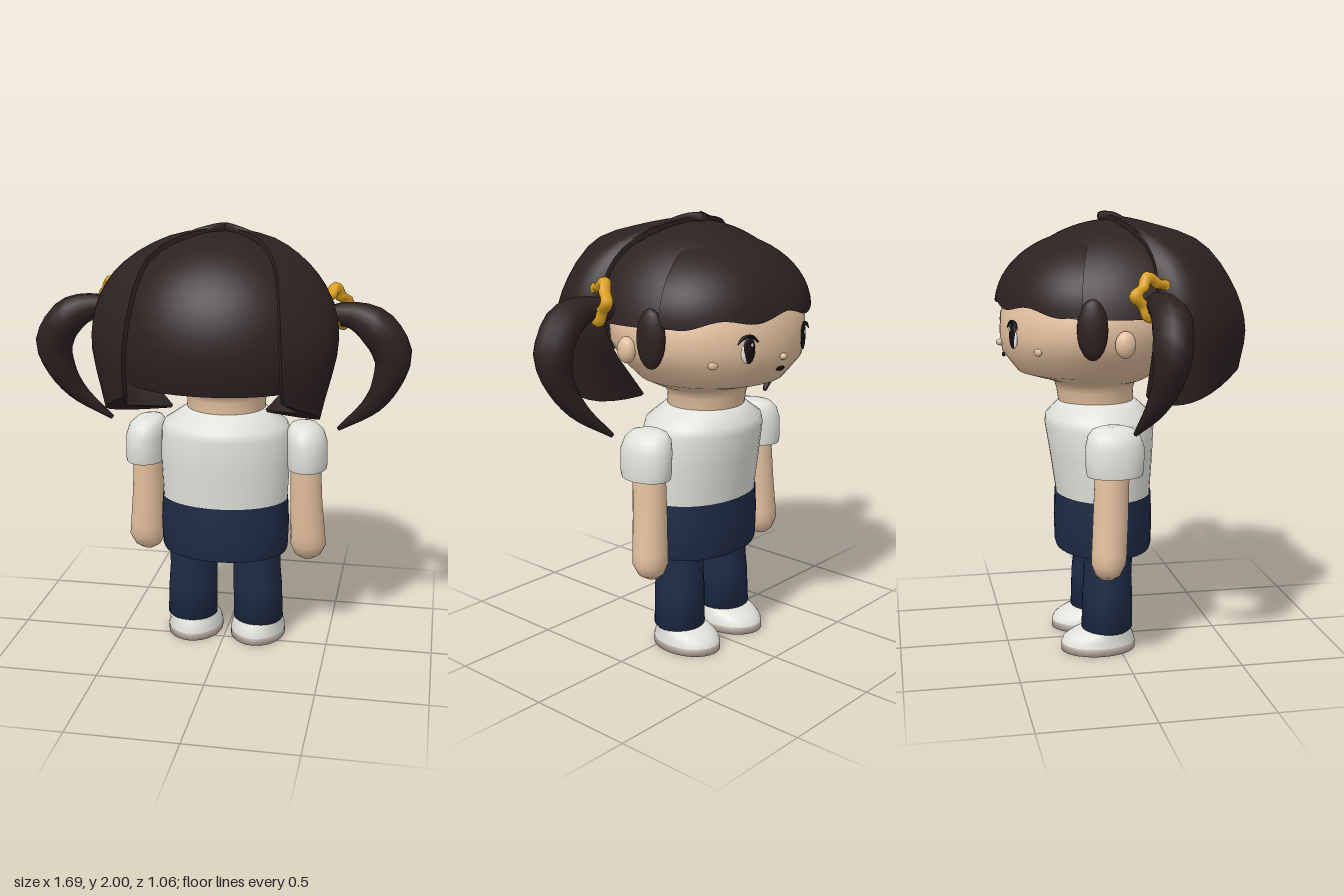
import * as THREE from 'three';
import { toCreasedNormals } from 'three/addons/utils/BufferGeometryUtils.js';

const V = (x, y, z) => new THREE.Vector3(x, y, z);
const paint = (name, color, side = THREE.FrontSide) => {
  const m = new THREE.MeshStandardMaterial({ color, side });
  m.name = name;
  return m;
};

// Skin a surface over rows of points; closed rows become a capped solid
function skinRows(rows, closed = true) {
  const n = rows[0].length, pos = [], index = [];
  rows.forEach(r => r.forEach(p => pos.push(p.x, p.y, p.z)));
  for (let i = 0; i < rows.length - 1; i++) {
    for (let j = 0; j < (closed ? n : n - 1); j++) {
      const a = i * n + j, b = i * n + (j + 1) % n;
      index.push(a, a + n, b, b, a + n, b + n);
    }
  }
  if (closed) {
    [[0, false], [rows.length - 1, true]].forEach(([r, end]) => {
      const c = V(0, 0, 0);
      rows[r].forEach(p => c.addScaledVector(p, 1 / n));
      const k = pos.length / 3;
      pos.push(c.x, c.y, c.z);
      for (let j = 0; j < n; j++) {
        const a = r * n + j, b = r * n + (j + 1) % n;
        index.push(k, end ? b : a, end ? a : b);
      }
    });
  }
  const g = new THREE.BufferGeometry();
  g.setAttribute('position', new THREE.Float32BufferAttribute(pos, 3));
  g.setIndex(index);
  g.computeVertexNormals();
  return g;
}

// Stacked ovals, rows listed from the bottom up: [y, cx, cz, rx, rz]
const ovals = (rows, seg = 28) => skinRows(rows.map(([y, cx, cz, rx, rz]) =>
  Array.from({ length: seg }, (_, j) => {
    const a = j / seg * Math.PI * 2;
    return V(cx + rx * Math.cos(a), y, cz + rz * Math.sin(a));
  })));

// Tapered tube through points with a radius at each: [x, y, z, r]
function taperTube(pts, steps = 18, seg = 10) {
  const curve = new THREE.CatmullRomCurve3(pts.map(p => V(p[0], p[1], p[2])));
  const f = curve.computeFrenetFrames(steps);
  const rows = [];
  for (let i = 0; i <= steps; i++) {
    const t = i / steps, u = curve.getUtoTmapping(t) * (pts.length - 1);
    const k = Math.min(Math.floor(u), pts.length - 2);
    const r = THREE.MathUtils.lerp(pts[k][3], pts[k + 1][3], u - k), c = curve.getPointAt(t);
    rows.push(Array.from({ length: seg }, (_, j) => {
      const a = j / seg * Math.PI * 2;
      return c.clone().addScaledVector(f.normals[i], r * Math.cos(a))
        .addScaledVector(f.binormals[i], -r * Math.sin(a));
    }));
  }
  return skinRows(rows);
}

// Piece of an egg from its top down to a height that varies with the angle (0 = +z);
// the +z half is slightly squared
function eggPatch(c, rx, ry, rzBack, rzFront, a0, a1, bottom, seg = 48, steps = 14) {
  const rows = [];
  for (let i = 0; i <= steps; i++) {
    rows.push(Array.from({ length: seg + 1 }, (_, j) => {
      const a = a0 + (a1 - a0) * j / seg;
      const t = i / steps * Math.acos((bottom(a) - c.y) / ry), s = Math.sin(t);
      const z = Math.cos(a);
      const dz = z > 0 ? rzBack * z ** 0.8 : rzFront * z;
      return V(c.x + rx * Math.sin(a) * s, c.y + ry * Math.cos(t), c.z + dz * s);
    }));
  }
  return skinRows(rows, false);
}

// Thick swept lock of hair between two edges and a middle line
function hairLock(inner, middle, outer, steps = 16, across = 10) {
  const lines = [inner, middle, outer].map(l => new THREE.CatmullRomCurve3(l.map(p => V(...p))));
  const centre = V(0, 1.45, 0), rows = [];
  for (let i = 0; i <= steps; i++) {
    const [a, m, b] = lines.map(l => l.getPoint(i / steps));
    const ctrl = m.clone().multiplyScalar(2).addScaledVector(a, -0.5).addScaledVector(b, -0.5);
    const face = new THREE.QuadraticBezierCurve3(a, ctrl, b).getPoints(across);
    const back = face.map(p => p.clone().lerp(centre, 0.04)).reverse();
    rows.push([...face, ...back]);
  }
  return skinRows(rows);
}

function mirrored(geo) {
  const g = geo.clone().scale(-1, 1, 1);
  g.setIndex(Array.from(g.index.array).reverse());
  return g;
}

const ball = (x, y, z, rx, ry, rz, turn = 0) =>
  new THREE.SphereGeometry(1, 16, 12).scale(rx, ry, rz).rotateY(turn).translate(x, y, z);

export function createModel() {
  const model = new THREE.Group();
  const skin = paint('skin', 0xe4c19f);
  const hair = paint('dark brown hair', 0x2d2121, THREE.DoubleSide);
  const shirt = paint('off white cloth', 0xe2e2dc);
  const navy = paint('navy cloth', 0x1e2b46, THREE.DoubleSide);
  const gold = paint('gold tie', 0xdca01e);
  const sole = paint('taupe sole', 0xb4a89d);
  const black = paint('black', 0x151011);
  const white = paint('eye white', 0xf4f2ee);

  const add = (name, geo, mat, crease = 0.9) => {
    const m = new THREE.Mesh(toCreasedNormals(geo, crease), mat);
    m.name = name;
    model.add(m);
  };
  const pair = (name, geo, mat, crease) => {
    add(name + 'Left', geo, mat, crease);
    add(name + 'Right', mirrored(geo), mat, crease);
  };

  // Head and neck
  add('head', ovals([
    [1.1, 0, -0.07, 0.18, 0.17], [1.2, 0, -0.08, 0.185, 0.175], [1.235, 0, -0.08, 0.2, 0.185],
    [1.25, 0, -0.07, 0.24, 0.22], [1.29, 0, -0.105, 0.33, 0.325], [1.38, 0, -0.1, 0.42, 0.4],
    [1.46, 0, -0.088, 0.458, 0.422], [1.55, 0, -0.08, 0.455, 0.425], [1.65, 0, -0.07, 0.41, 0.395],
    [1.78, 0, -0.06, 0.34, 0.29], [1.88, 0, -0.04, 0.15, 0.13]], 40), skin, 1.3);
  pair('ear', ball(0.465, 1.455, -0.03, 0.035, 0.058, 0.045), skin);
  pair('cheek', ball(0.31, 1.412, -0.38, 0.022, 0.018, 0.009, Math.atan2(0.6, -0.8)), skin);
  add('nose', ball(0, 1.42, -0.51, 0.017, 0.015, 0.018), skin);
  add('mouth', ball(0, 1.365, -0.495, 0.028, 0.01, 0.008), black);

  // Eyes
  const turn = Math.atan2(0.39, -0.92);
  pair('eyeWhite', ball(0.196, 1.458, -0.469, 0.028, 0.042, 0.007, turn), white);
  pair('iris', ball(0.188, 1.472, -0.474, 0.028, 0.058, 0.009, turn), black);
  pair('eyeGlint', ball(0.182, 1.495, -0.486, 0.006, 0.009, 0.004, turn), white);
  pair('eyelash', taperTube([[0.152, 1.505, -0.492, 0.004], [0.185, 1.533, -0.48, 0.007],
    [0.22, 1.525, -0.466, 0.008], [0.247, 1.5, -0.46, 0.002]], 10, 6), black);

  // Hair cap, fringe and side locks
  const { smoothstep, lerp } = THREE.MathUtils;
  add('hairCap', eggPatch(V(0, 1.5, 0.02), 0.485, 0.465, 0.465, 0.53, 0, Math.PI * 2, a => {
    const d = Math.min(a, Math.PI * 2 - a);
    return lerp(lerp(1.325, 1.56, smoothstep(d, 0.8, 1.5)), 1.7, smoothstep(d, 2.1, 2.6));
  }, 64), hair, 1.2);
  add('fringe', eggPatch(V(0, 1.58, -0.08), 0.485, 0.34, 0.45, 0.45, Math.PI - 1.27, Math.PI + 1.27,
    a => 1.605 + 0.014 * Math.cos((a - Math.PI) * 9) - 0.024 * Math.abs(a - Math.PI)), hair, 1.2);
  pair('sideburn', ball(0.462, 1.52, -0.17, 0.035, 0.13, 0.066, 0.3), hair);
  pair('backLock', hairLock(
    [[0.01, 1.985, -0.02], [0.17, 1.955, 0.12], [0.28, 1.87, 0.34], [0.32, 1.68, 0.48], [0.335, 1.5, 0.53], [0.34, 1.32, 0.5]],
    [[0.01, 1.987, -0.03], [0.25, 1.94, 0.06], [0.42, 1.83, 0.22], [0.505, 1.68, 0.28], [0.53, 1.5, 0.3], [0.47, 1.2, 0.26]],
    [[0.01, 1.98, -0.04], [0.2, 1.95, 0.02], [0.38, 1.85, 0.09], [0.47, 1.7, 0.11], [0.47, 1.5, 0.1], [0.22, 1.18, 0.12]]),
  hair, 0.8);
  pair('crownRidge', taperTube([[0, 1.975, -0.05, 0.022], [0.035, 1.975, -0.01, 0.022],
    [0.13, 1.955, 0.03, 0.016], [0.3, 1.88, 0.08, 0.006]], 12, 8), hair);

  // Pigtails with scalloped ties
  pair('pigtail', taperTube([[0.46, 1.61, 0.08, 0.045], [0.57, 1.63, 0.09, 0.055], [0.685, 1.585, 0.11, 0.085],
    [0.765, 1.46, 0.1, 0.086], [0.742, 1.335, 0.085, 0.065], [0.68, 1.22, 0.05, 0.044],
    [0.53, 1.085, 0, 0.01]], 20, 10), hair);
  const tie = new THREE.TorusGeometry(0.083, 0.028, 8, 50);
  const p = tie.attributes.position;
  for (let i = 0; i < p.count; i++) {
    const k = 1 + 0.15 * Math.cos(5 * Math.atan2(p.getY(i), p.getX(i)));
    p.setXYZ(i, p.getX(i) * k, p.getY(i) * k * 0.88, p.getZ(i));
  }
  tie.rotateY(Math.PI / 2 - 0.45).rotateZ(0.25).translate(0.513, 1.655, 0.08);
  pair('hairTie', tie, gold, 1.5);

  // Shirt and open-bottomed tunic skirt
  add('shirt', ovals([[0.71, 0, -0.045, 0.295, 0.215], [0.9, 0, -0.052, 0.305, 0.235],
    [1.04, 0, -0.06, 0.303, 0.25], [1.08, 0, -0.062, 0.29, 0.245], [1.15, 0, -0.07, 0.185, 0.175]], 36), shirt);
  const hem = [[0.294, 0.46], [0.301, 0.48], [0.305, 0.6], [0.299, 0.722]].map(q => new THREE.Vector2(...q));
  add('tunicSkirt', new THREE.LatheGeometry(hem, 36).scale(1, 1, 0.74).translate(0, 0, -0.045), navy);

  // Sleeves and arms
  pair('sleeve', ovals([[0.875, 0.385, -0.06, 0.092, 0.122], [0.9, 0.385, -0.06, 0.094, 0.128],
    [1.0, 0.382, -0.06, 0.094, 0.13], [1.05, 0.373, -0.062, 0.086, 0.115],
    [1.078, 0.365, -0.065, 0.062, 0.09], [1.088, 0.355, -0.065, 0.035, 0.05]]), shirt);
  pair('arm', ovals([[0.41, 0.39, -0.095, 0.03, 0.03], [0.43, 0.392, -0.093, 0.062, 0.055],
    [0.48, 0.394, -0.09, 0.085, 0.076], [0.53, 0.392, -0.087, 0.082, 0.078],
    [0.7, 0.382, -0.078, 0.076, 0.078], [0.95, 0.375, -0.068, 0.07, 0.075]], 20), skin);

  // Legs and shoes
  pair('trouserLeg', ovals([[0.09, 0.163, -0.055, 0.105, 0.1], [0.105, 0.162, -0.055, 0.12, 0.117],
    [0.28, 0.158, -0.052, 0.117, 0.115], [0.35, 0.155, -0.05, 0.114, 0.11],
    [0.52, 0.153, -0.045, 0.114, 0.112]], 24), navy);
  pair('shoeSole', ovals([[0, 0.155, -0.095, 0.132, 0.172], [0.035, 0.155, -0.095, 0.132, 0.172]]), sole, Math.PI);
  pair('shoe', ovals([[0.035, 0.155, -0.095, 0.131, 0.171], [0.06, 0.155, -0.092, 0.126, 0.163],
    [0.08, 0.157, -0.08, 0.12, 0.143], [0.102, 0.16, -0.06, 0.112, 0.113]]), shirt);

  return model;
}
